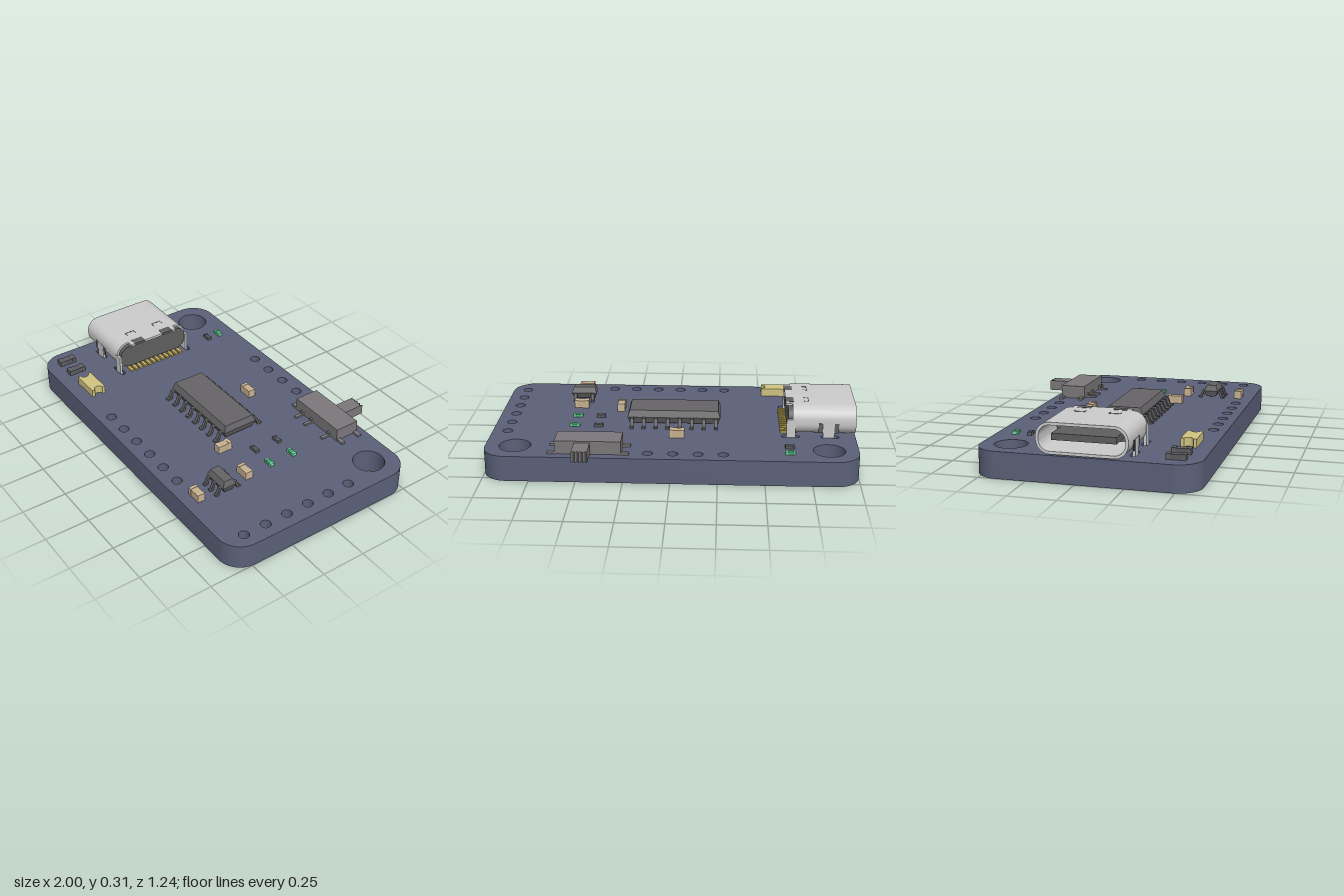
import * as THREE from 'three';
import { toCreasedNormals } from 'three/addons/utils/BufferGeometryUtils.js';

const TOP = 0.14; // upper face of the board
const mat = (color, flatShading = false) => new THREE.MeshStandardMaterial({ color, flatShading });
const M = {
  board: mat(0x5b6078), metal: mat(0xcccccc), dark: mat(0x5e5e5e), chip: mat(0x666466, true),
  lead: mat(0x626062), grey: mat(0x7b777a), tan: mat(0xc6af8e), tanEnd: mat(0xcbb596),
  yellow: mat(0xd0c480), gold: mat(0xcfb95a), green: mat(0x3fae74), greenEnd: mat(0x78d8a4), resistor: mat(0x5c5b60),
};

function add(parent, name, geometry, material, x = 0, y = 0, z = 0) {
  const mesh = new THREE.Mesh(geometry, material);
  mesh.name = name;
  mesh.position.set(x, y, z);
  parent.add(mesh);
  return mesh;
}

// Box whose y is given by its underside
const box = (parent, name, material, w, h, d, x, y, z) =>
  add(parent, name, new THREE.BoxGeometry(w, h, d), material, x, y + h / 2, z);

function group(parent, name, x = 0, y = 0, z = 0) {
  const g = new THREE.Group();
  g.name = name;
  g.position.set(x, y, z);
  parent.add(g);
  return g;
}

function roundRect(path, x0, y0, x1, y1, r) {
  path.moveTo(x0 + r, y0);
  path.lineTo(x1 - r, y0).absarc(x1 - r, y0 + r, r, -Math.PI / 2, 0);
  path.lineTo(x1, y1 - r).absarc(x1 - r, y1 - r, r, 0, Math.PI / 2);
  path.lineTo(x0 + r, y1).absarc(x0 + r, y1 - r, r, Math.PI / 2, Math.PI);
  path.lineTo(x0, y0 + r).absarc(x0 + r, y0 + r, r, Math.PI, Math.PI * 1.5);
  return path;
}

const polygon = (pts) => new THREE.Shape(pts.map(([x, y]) => new THREE.Vector2(x, y)));
const extrude = (shape, depth) =>
  toCreasedNormals(new THREE.ExtrudeGeometry(shape, { depth, bevelEnabled: false, curveSegments: 12 }), 0.6);
// Plan shape (x, -z) raised along y; side profile (-z, y) drawn out along x
const extrudeUp = (shape, h) => extrude(shape, h).rotateX(-Math.PI / 2);
const extrudeAlongX = (shape, w) => extrude(shape, w).rotateY(Math.PI / 2);

function createBoard(parent) {
  const shape = roundRect(new THREE.Shape(), -1, -0.615, 1, 0.537, 0.13);
  const hole = (x, z, r) => shape.holes.push(new THREE.Path().absarc(x, -z, r, 0, Math.PI * 2, true));
  for (const x of [-0.842, 0.84]) hole(x, -0.382, 0.086);
  for (let i = 0; i < 6; i++) {
    const step = i * 0.1337;
    if (i < 4) hole(-0.28 + step, -0.46, 0.028);
    hole(-0.28 + step, 0.54, 0.028);
    hole(0.917, -0.174 + step, 0.028);
  }
  // Connector slots and locating holes
  for (const s of [-1, 1]) {
    hole(-0.68, 0.04 + s * 0.15, 0.016);
    for (const x of [-0.86, -0.645]) {
      const z = 0.04 + s * 0.228;
      shape.holes.push(roundRect(new THREE.Path(), x - 0.05, -z - 0.016, x + 0.05, -z + 0.016, 0.0155));
    }
  }
  add(parent, 'circuitBoard', extrudeUp(shape, TOP), M.board);
}

function createConnector(parent) {
  const g = group(parent, 'usbConnector', 0, 0, 0.04);
  const profile = (inset) => [-0.234 + inset, 0.146 + inset, 0.234 - inset, 0.306 - inset, 0.072 - inset];
  const shell = roundRect(new THREE.Shape(), ...profile(0));
  shell.holes.push(roundRect(new THREE.Path(), ...profile(0.015)));
  add(g, 'connectorShell', extrudeAlongX(shell, 0.345), M.metal, -1);
  const core = roundRect(new THREE.Shape(), ...profile(0.012));
  add(g, 'connectorInsulator', extrudeAlongX(core, 0.095), M.dark, -0.725);
  box(g, 'connectorTongue', M.dark, 0.25, 0.034, 0.33, -0.84, 0.209, 0);
  // Rear roof flap with two dark spring notches
  box(g, 'shellRearFlap', M.metal, 0.036, 0.014, 0.31, -0.638, 0.292, 0);
  for (const s of [-1, 1]) {
    box(g, 'rearNotch', M.dark, 0.045, 0.012, 0.07, -0.64, 0.2955, s * 0.095);
    // Thin U-shaped spring outline on the roof
    box(g, 'springCut', M.dark, 0.004, 0.002, 0.06, -0.745, 0.3055, s * 0.092);
    for (const e of [-1, 1]) box(g, 'springCut', M.dark, 0.025, 0.002, 0.004, -0.733, 0.3055, s * 0.092 + e * 0.028);
    // Shell legs passing into the slots
    box(g, 'frontLeg', M.metal, 0.062, 0.15, 0.014, -0.852, 0.07, s * 0.229);
    box(g, 'rearLeg', M.metal, 0.05, 0.17, 0.014, -0.647, 0.07, s * 0.229);
    for (const x of [-0.895, -0.809]) box(g, 'legRelief', M.dark, 0.024, 0.055, 0.003, x, 0.165, s * 0.2335);
    add(g, 'locatingPeg', new THREE.CylinderGeometry(0.013, 0.013, 0.1, 16), M.dark, -0.68, 0.12, s * 0.15);
  }
  for (let i = 0; i < 12; i++)
    box(g, 'contactPin', M.gold, 0.05, 0.012, 0.016, -0.615, TOP, (i - 5.5) * 0.031);
}

// Gull-wing lead leaving the body at the origin and reaching out along side * z
function lead(parent, x, z, side, reach, rise, w) {
  const t = 0.01, k = reach * 0.4, f = reach * 0.6;
  const pts = [[-0.02, rise], [k, rise], [f + t / 2, t], [reach, t], [reach, 0],
    [f - t / 2, 0], [k - t, rise - t], [-0.02, rise - t]];
  const geometry = extrudeAlongX(polygon(pts), w).translate(-w / 2, 0, 0);
  const mesh = add(parent, 'lead', geometry, M.lead, x, TOP, z);
  if (side > 0) mesh.rotation.y = Math.PI; // profile points to -z by default
}

// Moulded chip body, widest at the parting line
function chipBody(parent, w, d, y0, y1, x, z) {
  const geometry = new THREE.BoxGeometry(w, y1 - y0, d, 1, 2, 1);
  const p = geometry.attributes.position;
  for (let i = 0; i < p.count; i++) {
    if (Math.abs(p.getY(i)) < 1e-5) continue;
    p.setX(i, p.getX(i) - Math.sign(p.getX(i)) * 0.012);
    p.setZ(i, p.getZ(i) - Math.sign(p.getZ(i)) * 0.015);
  }
  add(parent, 'chipBody', geometry, M.chip, x, (y0 + y1) / 2, z);
}

function createChips(parent) {
  const main = group(parent, 'mainChip');
  chipBody(main, 0.52, 0.21, 0.152, 0.226, 0, 0.042);
  for (let i = 0; i < 8; i++)
    for (const s of [-1, 1]) lead(main, (i - 3.5) * 0.067, 0.042 + s * 0.103, s, 0.055, 0.05, 0.02);

  const small = group(parent, 'regulatorChip');
  chipBody(small, 0.148, 0.082, 0.15, 0.218, 0.551, 0.372);
  for (const x of [0.5, 0.551, 0.602]) {
    lead(small, x, 0.412, 1, 0.037, 0.045, 0.018);
    if (x !== 0.551) lead(small, x, 0.332, -1, 0.037, 0.045, 0.018);
  }
}

// Two-terminal part: body with slightly larger end caps along its long side
function passive(parent, name, x, z, w, d, h, bodyMat, endMat) {
  const g = group(parent, name, x, 0, z);
  const alongX = w > d, long = Math.max(w, d), short = Math.min(w, d), cap = long * 0.22;
  box(g, name + 'Body', bodyMat, long - cap * 2, h - 0.002, short - 0.003, 0, TOP, 0);
  for (const s of [-1, 1]) box(g, name + 'Terminal', endMat, cap, h, short, s * (long - cap) / 2, TOP, 0);
  if (!alongX) g.rotation.y = Math.PI / 2;
}

function createPassives(parent) {
  for (const [x, z, w, d] of [[-0.024, -0.217, 0.082, 0.044], [0.315, 0.195, 0.044, 0.084],
    [0.55, 0.222, 0.084, 0.044], [0.553, 0.527, 0.084, 0.044]])
    passive(parent, 'capacitor', x, z, w, d, 0.045, M.tan, M.tanEnd);
  for (const x of [-0.896, -0.783]) passive(parent, 'diode', x, 0.485, 0.044, 0.1, 0.03, M.resistor, M.lead);
  for (const [x, z] of [[-0.634, -0.355], [0.42, -0.088], [0.42, 0.061]])
    passive(parent, 'resistor', x, z, 0.05, 0.024, 0.018, M.resistor, M.lead);
  for (const [x, z] of [[-0.634, -0.435], [0.553, -0.086], [0.553, 0.063]])
    passive(parent, 'statusLight', x, z, 0.054, 0.026, 0.018, M.green, M.greenEnd);

  // Yellow part with a rounded notch in each end
  const s = new THREE.Shape();
  s.moveTo(-0.084, -0.041);
  s.lineTo(0.084, -0.041).lineTo(0.084, -0.024).absarc(0.084, 0, 0.024, -Math.PI / 2, Math.PI / 2, true);
  s.lineTo(0.084, 0.041).lineTo(-0.084, 0.041).lineTo(-0.084, 0.024);
  s.absarc(-0.084, 0, 0.024, Math.PI / 2, -Math.PI / 2, true);
  add(parent, 'notchedLight', extrudeUp(s, 0.045), M.yellow, -0.586, TOP, 0.492);
}

function createSwitch(parent) {
  const g = group(parent, 'slideSwitch');
  box(g, 'switchBody', M.grey, 0.352, 0.073, 0.142, 0.435, 0.142, -0.421);
  for (const x of [0.243, 0.627])
    for (const z of [-0.48, -0.365]) box(g, 'mountingTab', M.grey, 0.05, 0.012, 0.024, x, TOP, z);
  for (const x of [0.318, 0.4, 0.548]) {
    box(g, 'switchLead', M.grey, 0.018, 0.01, 0.06, x, TOP, -0.325);
    box(g, 'switchLeadRoot', M.grey, 0.018, 0.026, 0.012, x, TOP, -0.346);
  }
  // Slider with a serrated grip end
  const pts = [[0.422, 0.48], [0.506, 0.48]];
  for (let i = 0; i <= 8; i++) pts.push([0.506 - i * 0.0105, i % 2 ? 0.606 : 0.622]);
  add(g, 'slider', extrudeUp(polygon(pts), 0.058), M.grey, 0, 0.148, 0);
}

export function createModel() {
  const model = new THREE.Group();
  model.name = 'circuitBoardAssembly';
  createBoard(model);
  createConnector(model);
  createChips(model);
  createPassives(model);
  createSwitch(model);
  return model;
}
